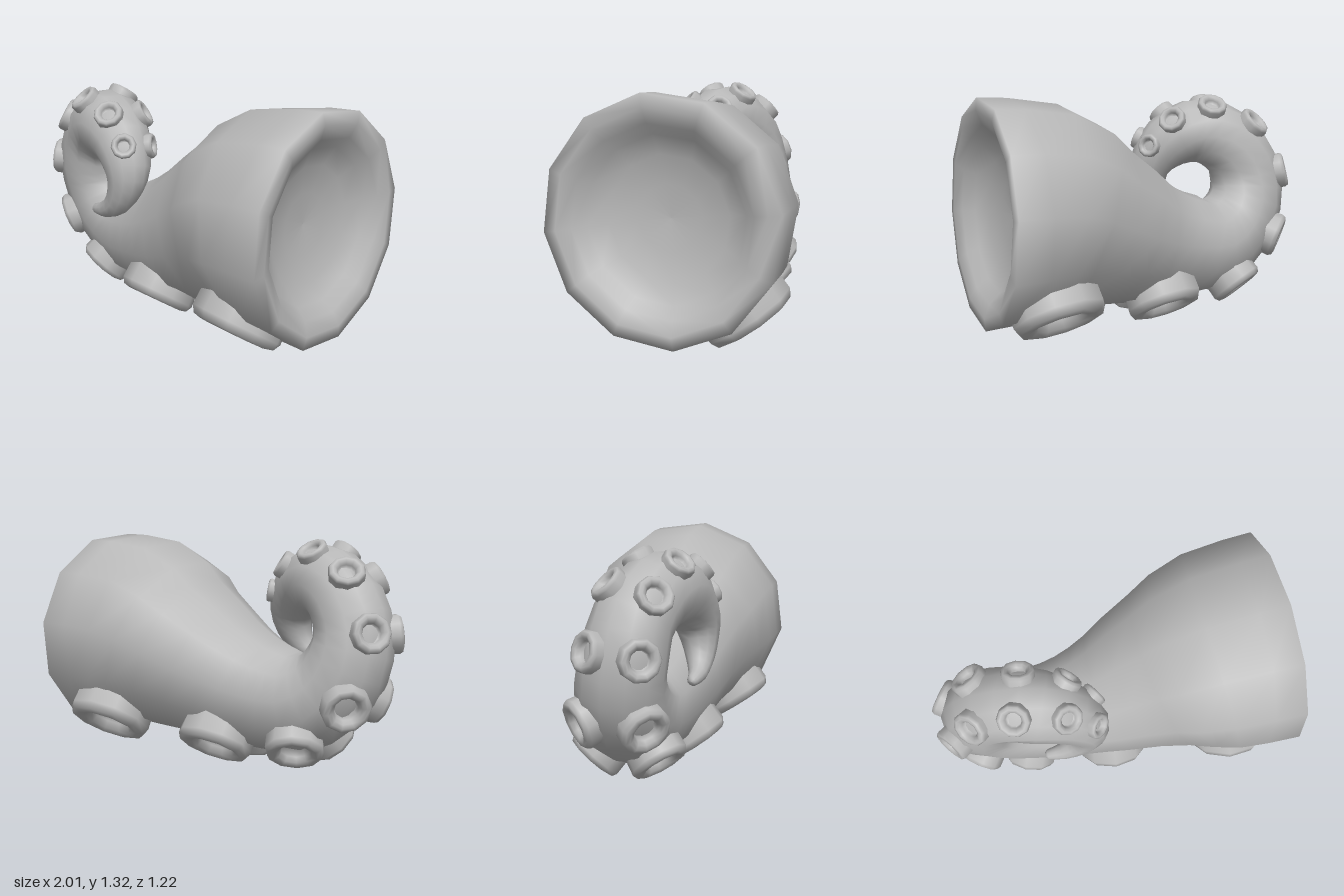
import * as THREE from 'three';

const SIDES = 12;

// Spine points from the wide base to the tip: x, y, z, radius
const SPINE = [
  [0.968, 0.71, 0, 0.617], [0.61, 0.695, 0, 0.593], [0.33, 0.595, 0, 0.488],
  [0, 0.468, 0.02, 0.378], [-0.25, 0.41, 0.025, 0.315], [-0.47, 0.40, 0.02, 0.28],
  [-0.635, 0.485, 0.035, 0.25], [-0.73, 0.625, 0.05, 0.232], [-0.75, 0.78, 0.08, 0.22],
  [-0.69, 0.94, 0.105, 0.21], [-0.56, 1.045, 0.16, 0.203], [-0.42, 1.06, 0.215, 0.195],
  [-0.285, 0.99, 0.265, 0.167], [-0.205, 0.87, 0.305, 0.135], [-0.205, 0.765, 0.325, 0.105],
  [-0.255, 0.665, 0.34, 0.077], [-0.35, 0.605, 0.35, 0.05], [-0.44, 0.588, 0.345, 0.03],
];
const LAST = SPINE.length - 1;
const path = new THREE.CatmullRomCurve3(SPINE.map(([x, y, z]) => new THREE.Vector3(x, y, z)));
const girth = new THREE.CatmullRomCurve3(SPINE.map(p => new THREE.Vector3(p[3], 0, 0)), false, 'catmullrom');

// Position, radius and axes at u (counted in spine points)
function frameAt(u) {
  const t = u / LAST;
  const along = path.getTangent(t);
  const side = new THREE.Vector3(0, 0, 1).addScaledVector(along, -along.z).normalize();
  const out = new THREE.Vector3().crossVectors(side, along);
  return { pos: path.getPoint(t), r: girth.getPoint(t).x, along, side, out };
}

const radial = (f, a) => f.out.clone().multiplyScalar(Math.cos(a)).addScaledVector(f.side, Math.sin(a));

// Closed skin over a list of rings { f, r, shift }
function loft(rings) {
  const pos = [], index = [];
  rings.forEach(({ f, r, shift = 0 }, i) => {
    for (let k = 0; k < SIDES; k++) {
      const p = radial(f, (k / SIDES) * Math.PI * 2 - 0.14).multiplyScalar(r)
        .add(f.pos).addScaledVector(f.along, shift);
      pos.push(p.x, p.y, p.z);
      if (i === 0) continue;
      const n = (k + 1) % SIDES, a = (i - 1) * SIDES, b = i * SIDES;
      index.push(a + k, a + n, b + k, a + n, b + n, b + k);
    }
  });
  const g = new THREE.BufferGeometry();
  g.setAttribute('position', new THREE.Float32BufferAttribute(pos, 3));
  g.setIndex(index);
  g.computeVertexNormals();
  return g;
}

// Unit sucker: ring with a hollow centre, axis +y
function suckerGeometry() {
  const profile = [
    [0.97, -0.4], [1, 0.2], [0.91, 0.36], [0.75, 0.4], [0.59, 0.33],
    [0.48, 0.17], [0.43, -0.05], [0, -0.08],
  ].map(([x, y]) => new THREE.Vector2(x, y));
  return new THREE.LatheGeometry(profile, 10);
}

export function createModel() {
  const model = new THREE.Group();
  model.name = 'tentacle';
  const skin = new THREE.MeshStandardMaterial({ name: 'grey skin', color: 0xb8b8b8 });
  const add = (name, geometry) => {
    const mesh = new THREE.Mesh(geometry, skin);
    mesh.name = name;
    model.add(mesh);
    return mesh;
  };

  // Hollow in the base, from its floor out to the rounded rim
  const base = frameAt(0);
  const hollow = [[0, 0.175], [0.17, 0.165], [0.32, 0.135], [0.42, 0.085], [0.475, 0.025], [0.55, -0.006]];
  const rings = hollow.map(([r, shift]) => ({ f: base, r, shift }));

  // Curled arm, closed at the tip
  for (let u = 0; u <= LAST; u += 0.5) {
    const f = frameAt(u);
    rings.push({ f, r: f.r });
  }
  const tip = frameAt(LAST);
  rings.push({ f: tip, r: tip.r * 0.6, shift: 0.014 }, { f: tip, r: 0, shift: 0.018 });
  add('arm', loft(rings));

  // Two rows of suckers along the outer side: u, radius, angle from the middle
  const suckers = [
    [1.28, 0.25, 0.64], [3.4, 0.22, 0.63], [5.1, 0.162, 0.64], [6.45, 0.135, 0.74], [8.05, 0.108, 0.64],
    [9.35, 0.1, 0.66], [10.45, 0.09, 0.66], [11.55, 0.084, 0.66], [12.5, 0.071, 0.66],
  ];
  const unit = suckerGeometry();
  for (const row of [1, -1]) {
    suckers.forEach(([u, size, angle], i) => {
      const f = frameAt(u - (row < 0 ? 0.07 : 0));
      const dir = radial(f, row * angle);
      // Lean the sucker to follow the taper of the arm
      const a = frameAt(u - 0.3), b = frameAt(u + 0.3);
      const taper = (a.r - b.r) / a.pos.distanceTo(b.pos);
      const normal = dir.clone().addScaledVector(f.along, taper).normalize();
      const mesh = add((row > 0 ? 'front' : 'back') + 'Sucker' + (i + 1), unit);
      mesh.position.copy(f.pos).addScaledVector(dir, f.r * 0.96);
      mesh.quaternion.setFromUnitVectors(new THREE.Vector3(0, 1, 0), normal);
      mesh.scale.setScalar(size);
    });
  }
  return model;
}
